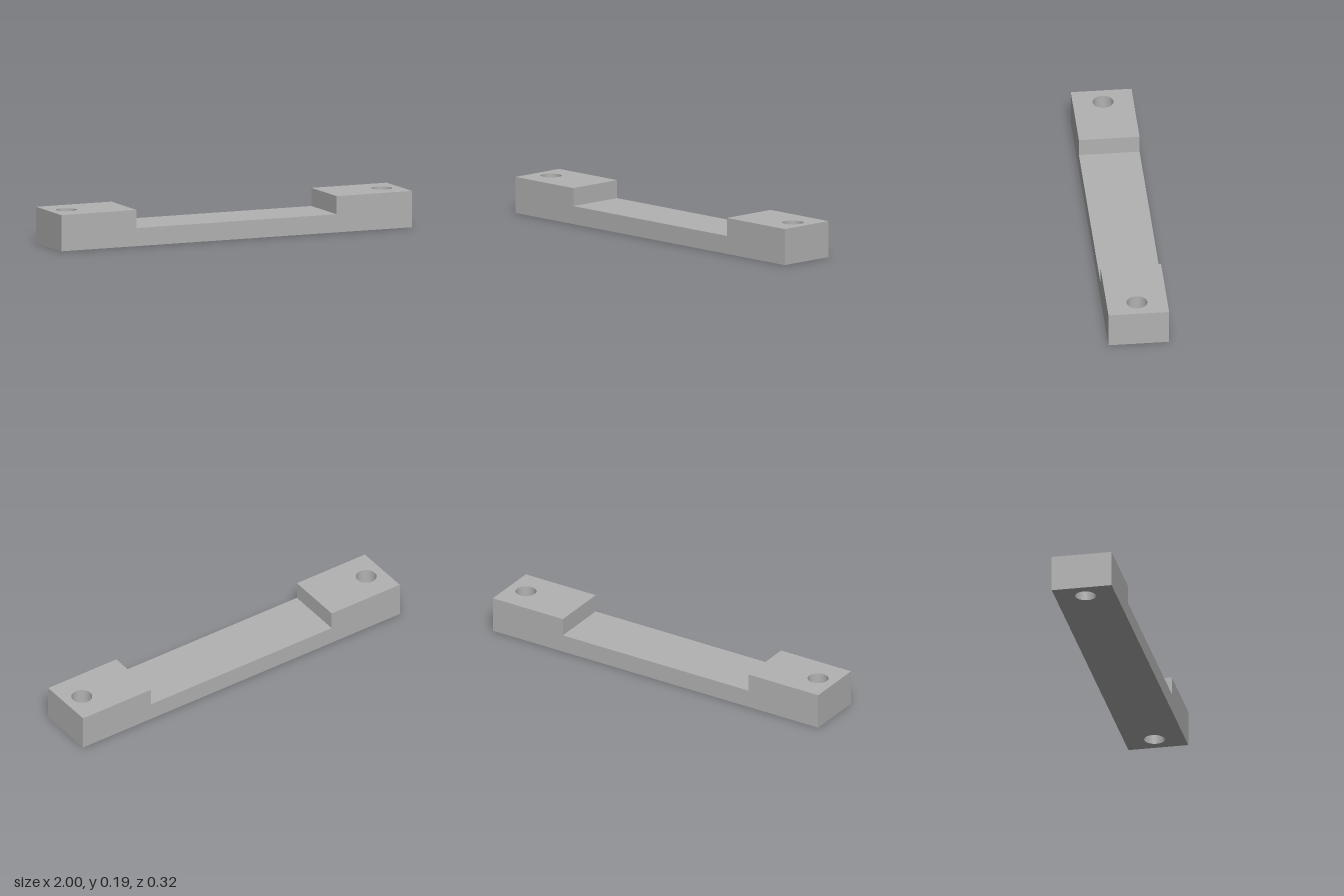
import * as THREE from 'three';

const HEIGHT = 0.19, WEB_HEIGHT = 0.095, DEPTH = 0.316;
const STEP_X = 0.57, HOLE_X = 0.898, HOLE_RADIUS = 0.054;

// Full-height end block with a vertical through hole
function endBlockGeometry(side) {
  const inner = side * STEP_X, outer = side;
  const x0 = Math.min(inner, outer), x1 = Math.max(inner, outer);
  const d = DEPTH / 2;
  const outline = new THREE.Shape([
    new THREE.Vector2(x0, -d), new THREE.Vector2(x1, -d),
    new THREE.Vector2(x1, d), new THREE.Vector2(x0, d),
  ]);
  const hole = new THREE.Path();
  hole.absarc(side * HOLE_X, 0, HOLE_RADIUS, 0, Math.PI * 2, true);
  outline.holes.push(hole);
  const geometry = new THREE.ExtrudeGeometry(outline, {
    depth: HEIGHT, bevelEnabled: false, curveSegments: 64,
  });
  return geometry.rotateX(-Math.PI / 2);
}

export function createModel() {
  const model = new THREE.Group();
  model.name = 'mountingBar';
  const grey = new THREE.MeshStandardMaterial({ color: 0xb2b2b2 });
  grey.name = 'grey';

  // Raised ends with bolt holes
  for (const [name, side] of [['leftEndBlock', 1], ['rightEndBlock', -1]]) {
    const block = new THREE.Mesh(endBlockGeometry(side), grey);
    block.name = name;
    model.add(block);
  }

  // Thinner web joining the ends
  const web = new THREE.Mesh(new THREE.BoxGeometry(STEP_X * 2, WEB_HEIGHT, DEPTH), grey);
  web.name = 'centreWeb';
  web.position.y = WEB_HEIGHT / 2;
  model.add(web);

  return model;
}
